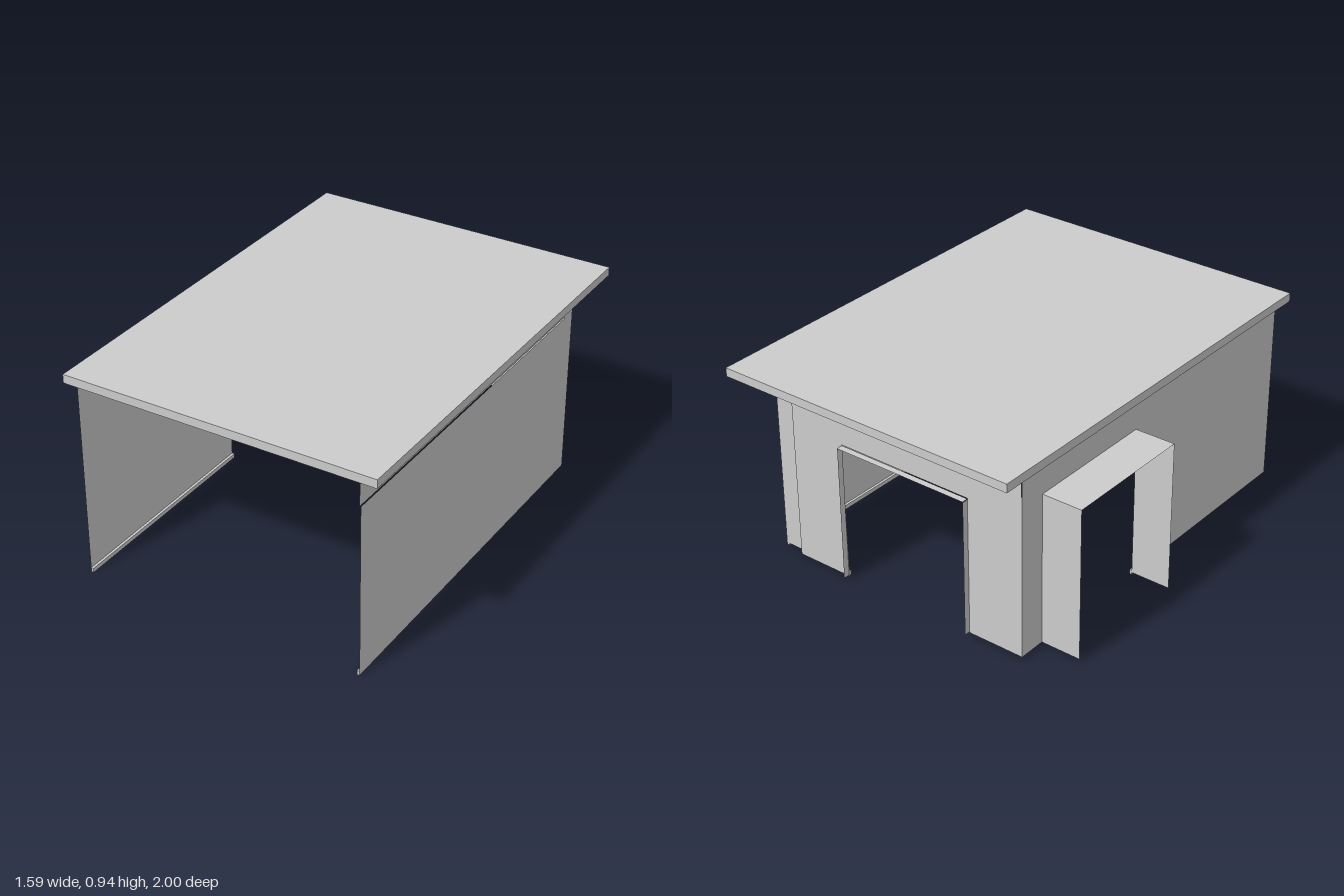
import * as THREE from 'three';

const solid = new THREE.MeshStandardMaterial({ color: 0xcccccc });
const thin = new THREE.MeshStandardMaterial({ color: 0xcccccc, side: THREE.DoubleSide });

export function createModel() {
  const model = new THREE.Group();

  const add = (name, geometry, material) => {
    const mesh = new THREE.Mesh(geometry, material);
    mesh.name = name;
    model.add(mesh);
    return mesh;
  };

  // Solid block given by its lower and upper corners
  const block = (name, [x0, y0, z0], [x1, y1, z1]) =>
    add(name, new THREE.BoxGeometry(x1 - x0, y1 - y0, z1 - z0), solid)
      .position.set((x0 + x1) / 2, (y0 + y1) / 2, (z0 + z1) / 2);

  const outline = (points) =>
    new THREE.ShapeGeometry(new THREE.Shape(points.map(([u, v]) => new THREE.Vector2(u, v))));
  const rect = (u0, v0, u1, v1) => [[u0, v0], [u1, v0], [u1, v1], [u0, v1]];

  // Thin sheets: points are (x, y) at depth z, (z, y) at side x, or (x, z) at height y
  const sheetZ = (name, z, points) => add(name, outline(points).translate(0, 0, z), thin);
  const sheetX = (name, x, points) =>
    add(name, outline(points).rotateY(-Math.PI / 2).translate(x, 0, 0), thin);
  const sheetY = (name, y, points) =>
    add(name, outline(points).rotateX(Math.PI / 2).translate(0, y, 0), thin);

  const leftX = 0.72, rightX = -0.605, backZ = -0.82, cornerZ = -0.793;
  const base = 0.01, eaves = 0.905;

  // Overhanging flat roof
  block('roof', [-0.675, eaves, -1], [0.79, 0.945, 1]);

  // Plain side wall with a slightly recessed band under the roof
  sheetX('leftWall', leftX, rect(cornerZ, base, 1, 0.8));
  sheetX('leftWallBand', leftX - 0.005, rect(cornerZ, 0.8, 1, eaves));
  sheetX('leftWallCornerStrip', leftX, rect(cornerZ, 0.8, -0.71, eaves));

  // Stepped back corner
  sheetZ('backCornerPanel', cornerZ, rect(0.607, base, leftX, eaves));
  sheetX('backCornerReturn', 0.607, rect(backZ, base, cornerZ, eaves));

  // Back wall with a doorway and a band above it
  sheetZ('backWall', backZ, [
    [rightX, base], [-0.333, base], [-0.333, 0.66], [0.335, 0.66],
    [0.327, base], [0.607, base], [0.607, 0.77], [rightX, 0.77],
  ]);
  sheetZ('backWallBand', backZ - 0.003, rect(rightX, 0.77, 0.607, eaves));

  // Doorway lining that projects outwards
  for (const x of [-0.333, 0.331]) sheetX('doorJamb', x, rect(-0.85, 0.015, backZ, 0.655));
  sheetY('doorHead', 0.657, rect(-0.333, -0.85, 0.333, backZ));

  // Opposite side wall, cut out where the porch joins it
  const z0 = -0.69, z1 = -0.06, porchTop = 0.72, porchX = -0.795;
  sheetX('rightWall', rightX, [
    [backZ, base], [z0, base], [z0, porchTop], [z1, porchTop],
    [z1, base], [1, base], [1, eaves], [backZ, eaves],
  ]);

  // Side porch: two cheeks and a flat top
  for (const z of [z0, z1]) sheetZ('porchCheek', z, rect(porchX, base, rightX, porchTop));
  sheetY('porchTop', porchTop, rect(porchX, z0, rightX, z1));

  // Low inner skirting along the foot of the walls
  block('skirting', [leftX - 0.012, 0, cornerZ], [leftX, 0.02, 1]);
  block('skirting', [rightX, 0, z1], [rightX + 0.012, 0.02, 1]);
  block('skirting', [rightX, 0.012, backZ], [-0.333, 0.035, backZ + 0.015]);
  block('skirting', [0.33, 0.012, backZ], [0.607, 0.03, backZ + 0.015]);

  return model;
}
